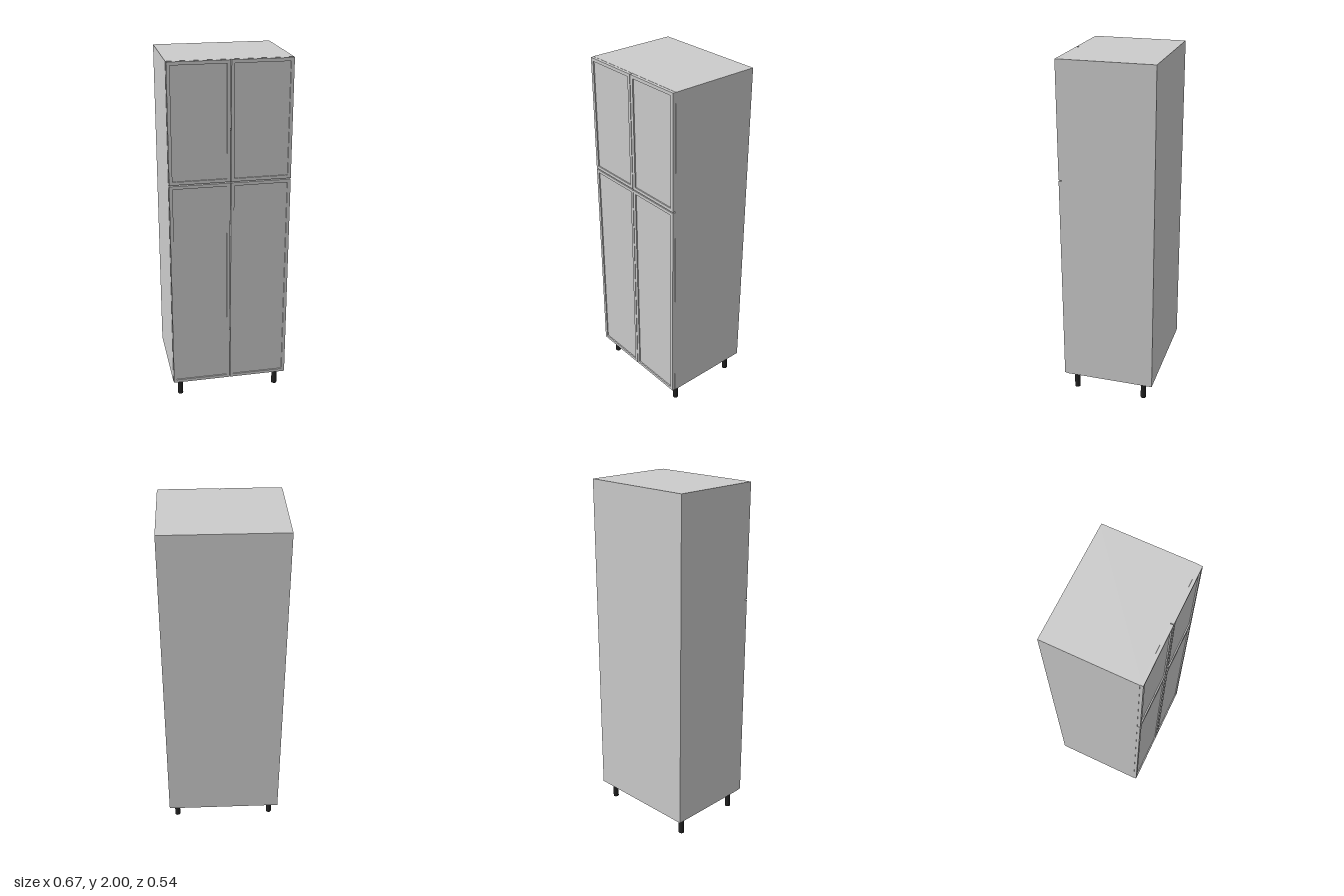
import * as THREE from 'three';

const grey = new THREE.MeshStandardMaterial({ color: 0xcccccc });
const dark = new THREE.MeshStandardMaterial({ color: 0x222222 });

const W = 0.674, BOTTOM = 0.11, TOP = 2, BACK = -0.27, FRONT = 0.25;
const BOARD = 0.016, DOOR = 0.017, GAP = 0.004;

// Box given by its minimum and maximum corners
function board(name, x0, x1, y0, y1, z0, z1) {
  const mesh = new THREE.Mesh(new THREE.BoxGeometry(x1 - x0, y1 - y0, z1 - z0), grey);
  mesh.position.set((x0 + x1) / 2, (y0 + y1) / 2, (z0 + z1) / 2);
  mesh.name = name;
  return mesh;
}

function rectangle(target, x0, x1, y0, y1) {
  target.moveTo(x0, y0);
  target.lineTo(x1, y0);
  target.lineTo(x1, y1);
  target.lineTo(x0, y1);
  target.closePath();
  return target;
}

// Door with a narrow raised frame around a recessed panel
function door(name, x0, x1, y0, y1) {
  const group = new THREE.Group();
  group.name = name;
  const rim = 0.018, recess = 0.007;
  const shape = rectangle(new THREE.Shape(), x0, x1, y0, y1);
  shape.holes.push(rectangle(new THREE.Path(), x0 + rim, x1 - rim, y0 + rim, y1 - rim));
  const frame = new THREE.Mesh(
    new THREE.ExtrudeGeometry(shape, { depth: DOOR, bevelEnabled: false }), grey);
  frame.name = 'doorFrame';
  frame.position.z = FRONT;
  group.add(frame, board('doorPanel', x0 + rim, x1 - rim, y0 + rim, y1 - rim,
    FRONT, FRONT + DOOR - recess));
  return group;
}

export function createModel() {
  const model = new THREE.Group();
  model.name = 'tallCabinet';
  const half = W / 2, inner = half - BOARD;

  // Carcass: sides, top, bottom, divider, shelves and back
  const carcass = new THREE.Group();
  carcass.name = 'carcass';
  carcass.add(
    board('rightSide', -half, -inner, BOTTOM, TOP, BACK, FRONT),
    board('leftSide', inner, half, BOTTOM, TOP, BACK, FRONT),
    board('topBoard', -inner, inner, TOP - BOARD, TOP, BACK, FRONT),
    board('bottomBoard', -inner, inner, BOTTOM, BOTTOM + BOARD, BACK, FRONT),
    board('divider', -inner, inner, 1.34 - BOARD, 1.34 + BOARD, BACK + 0.01, FRONT),
    board('backPanel', -inner, inner, BOTTOM + BOARD, TOP - BOARD, BACK, BACK + 0.01));
  for (const y of [0.49, 0.87, 1.24, 1.62]) {
    carcass.add(board('shelf', -inner, inner, y - BOARD / 2, y + BOARD / 2, BACK + 0.01, FRONT - 0.02));
  }
  model.add(carcass);

  // Two lower and two upper doors
  const edge = half - 0.002;
  for (const [level, y0, y1] of [['lower', BOTTOM + 0.002, 1.337], ['upper', 1.343, TOP - 0.001]]) {
    model.add(door(level + 'RightDoor', -edge, -GAP / 2, y0, y1),
      door(level + 'LeftDoor', GAP / 2, edge, y0, y1));
  }

  // Round feet
  const legGeometry = new THREE.CylinderGeometry(0.016, 0.016, BOTTOM, 24);
  for (const x of [-0.29, 0.29]) {
    for (const z of [-0.209, 0.204]) {
      const leg = new THREE.Mesh(legGeometry, dark);
      leg.name = 'leg';
      leg.position.set(x, BOTTOM / 2, z);
      model.add(leg);
    }
  }
  return model;
}
